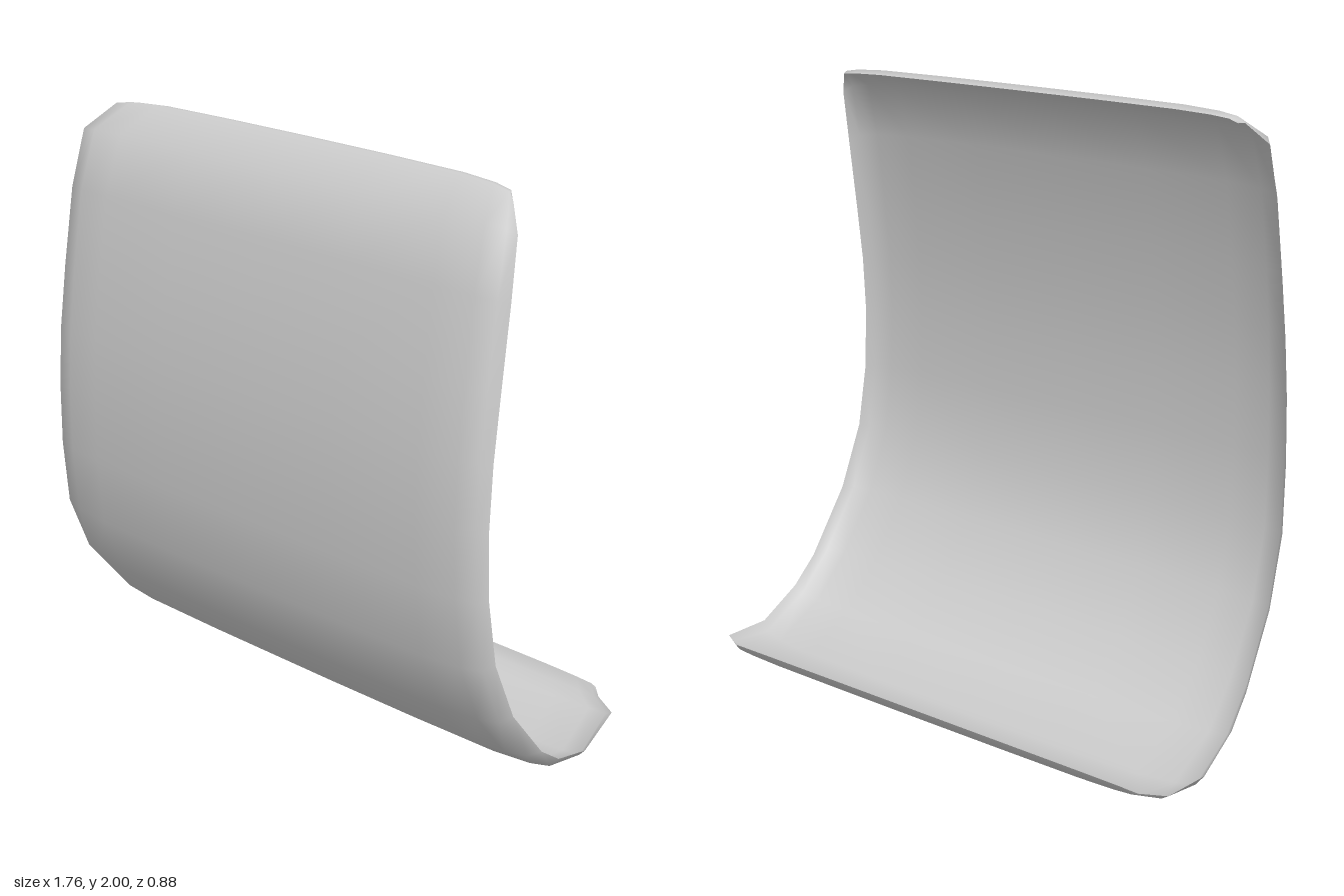
import * as THREE from 'three';

// Rows from top rim to bottom rim: z, y on the centre line, z, y at the side rim, half width
const ROWS = [
  [0.122, 1.99, 0.165, 1.96, 0.715],
  [0.16, 2.0, 0.182, 1.96, 0.728],
  [0.29, 1.93, 0.24, 1.895, 0.782],
  [0.355, 1.75, 0.28, 1.725, 0.797],
  [0.4, 1.5, 0.325, 1.48, 0.807],
  [0.428, 1.3, 0.357, 1.29, 0.814],
  [0.44, 1.1, 0.376, 1.1, 0.822],
  [0.44, 0.88, 0.377, 0.88, 0.833],
  [0.42, 0.64, 0.35, 0.66, 0.848],
  [0.34, 0.42, 0.26, 0.44, 0.862],
  [0.2, 0.23, 0.1, 0.225, 0.874],
  [0.03, 0.08, 0, 0.14, 0.88],
  [-0.19, 0.005, -0.17, 0.07, 0.88],
  [-0.37, 0.07, -0.365, 0.1, 0.865],
  [-0.42, 0.09, -0.41, 0.105, 0.79],
  [-0.44, 0.13, -0.432, 0.122, 0.765],
];

// Half cross-section: fraction of half width, share of the way back to the rim
const HALF = [[0, 0], [0.4, 0.02], [0.75, 0.09], [0.9, 0.27], [0.975, 0.52], [1, 1]];
const SECTION = [...HALF.slice(1).reverse().map(([x, t]) => [-x, t]), ...HALF];

// Open sheet lofted through the rows
function sheetGeometry() {
  const n = SECTION.length;
  const positions = [], index = [];
  ROWS.forEach(([z, y, rimZ, rimY, width], r) => {
    SECTION.forEach(([x, t], i) => {
      positions.push(x * width, THREE.MathUtils.lerp(y, rimY, t), THREE.MathUtils.lerp(z, rimZ, t));
      if (r < ROWS.length - 1 && i < n - 1) {
        const a = r * n + i, b = a + n;
        index.push(a, b, a + 1, b, b + 1, a + 1);
      }
    });
  });
  const geometry = new THREE.BufferGeometry();
  geometry.setAttribute('position', new THREE.Float32BufferAttribute(positions, 3));
  geometry.setIndex(index);
  geometry.computeVertexNormals();
  return geometry;
}

export function createModel() {
  const group = new THREE.Group();
  group.name = 'curvedPanel';
  const material = new THREE.MeshStandardMaterial({ color: 0xcccccc, side: THREE.DoubleSide });
  const sheet = new THREE.Mesh(sheetGeometry(), material);
  sheet.name = 'curvedSheet';
  group.add(sheet);
  return group;
}
